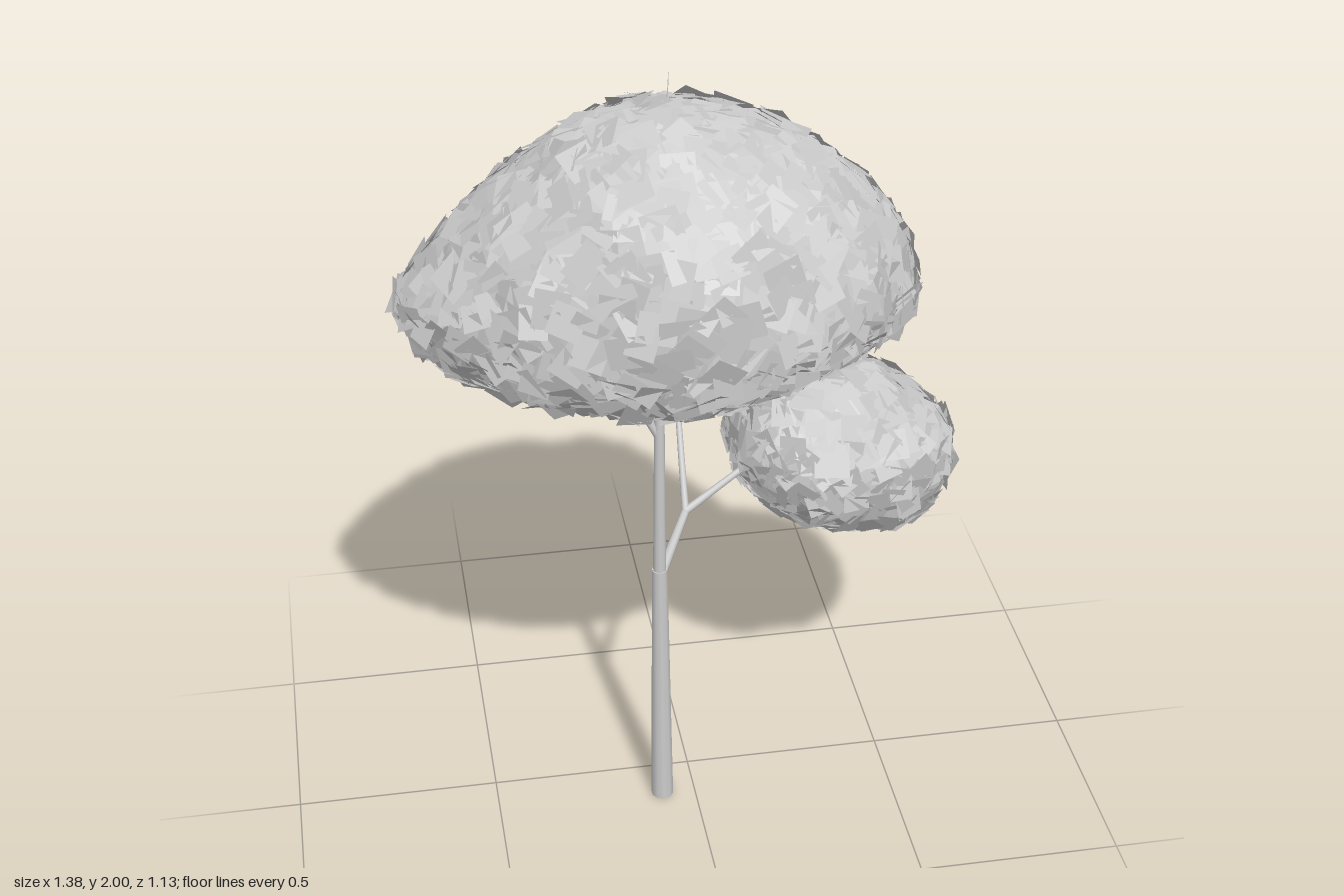
import * as THREE from 'three';

const V = (x, y, z) => new THREE.Vector3(x, y, z);

// Small seeded generator, returns -1..1
function makeRandom(seed) {
  let s = seed;
  return () => {
    s = (s * 16807) % 2147483647;
    return (s / 2147483647) * 2 - 1;
  };
}

// Tapered limb between two points
function limb(name, a, b, r0, r1, material) {
  const dir = b.clone().sub(a);
  const geo = new THREE.CylinderGeometry(r1, r0, dir.length(), 10);
  const mesh = new THREE.Mesh(geo, material);
  mesh.position.copy(a).addScaledVector(dir, 0.5);
  mesh.quaternion.setFromUnitVectors(V(0, 1, 0), dir.normalize());
  mesh.name = name;
  return mesh;
}

// Shell of overlapping square leaf cards; surface maps a unit direction to a point
function leafShell(name, surface, count, size, seed, material) {
  const rnd = makeRandom(seed);
  const pos = [], index = [];
  for (let i = 0; i < count; i++) {
    const y = 1 - (2 * i + 1) / count;
    const r = Math.sqrt(1 - y * y), a = i * 2.399963;
    const d = V(r * Math.cos(a), y, r * Math.sin(a));
    // Tangent frame of the surface
    const e1 = V(0, 1, 0).cross(d).normalize();
    const e2 = d.clone().cross(e1);
    const p = surface(d);
    const near = (e) => surface(d.clone().addScaledVector(e, 0.02).normalize()).sub(p);
    const t1 = near(e1).normalize();
    const n = t1.clone().cross(near(e2)).normalize();
    // Spin and slightly tilt each card
    t1.applyAxisAngle(n, rnd() * Math.PI);
    n.applyAxisAngle(t1, rnd() * 0.28);
    const t2 = n.clone().cross(t1);
    t1.applyAxisAngle(t2, rnd() * 0.28);
    const w = size * (1 + 0.2 * rnd()) / 2, h = size * (1 + 0.2 * rnd()) / 2;
    p.addScaledVector(n, rnd() * 0.008);
    const k = pos.length / 3;
    for (const [u, v] of [[-1, -1], [1, -1], [1, 1], [-1, 1]]) {
      const c = p.clone().addScaledVector(t1, u * w).addScaledVector(t2, v * h);
      pos.push(c.x, c.y, c.z);
    }
    index.push(k, k + 1, k + 2, k, k + 2, k + 3);
  }
  const geo = new THREE.BufferGeometry();
  geo.setAttribute('position', new THREE.Float32BufferAttribute(pos, 3));
  geo.setIndex(index);
  geo.computeVertexNormals();
  const mesh = new THREE.Mesh(geo, material);
  mesh.name = name;
  return mesh;
}

// Rotated, slightly squarish ellipsoid surface
function blob(center, radii, yaw, roll) {
  const q = new THREE.Quaternion().setFromEuler(new THREE.Euler(0, yaw, roll, 'YXZ'));
  const pw = (v) => Math.abs(v) ** 2.4;
  return (d) => d.clone().multiplyScalar((pw(d.x) + pw(d.y) + pw(d.z)) ** (-1 / 2.4))
    .multiply(radii).applyQuaternion(q).add(center);
}

// Broad dome: shallow underside, ends narrowing, left side drooping lower and wider
function dome(d) {
  const up = Math.max(d.y, 0);
  const x = d.x < 0 ? d.x * 0.61 * (1 - 0.38 * up) : d.x * 0.53 * (1 - 0.08 * up);
  const corner = Math.max(d.x, 0) * Math.max(d.z, 0);
  const y = d.y > 0 ? d.y * 0.425
    : -0.175 * Math.sin(Math.min(1, -d.y * 1.1) * Math.PI / 2) * (1 - 0.8 * corner);
  const z = d.z * 0.38 * (1 - 0.2 * d.x * d.x);
  return V(x - 0.05 - 0.03 * up, y + 1.505, z + 0.155 + 0.05 * x + 0.015 * up);
}

export function createModel() {
  const bark = new THREE.MeshStandardMaterial({ color: 0xcccccc });
  const leaf = new THREE.MeshStandardMaterial({ color: 0xcccccc, side: THREE.DoubleSide });
  const tree = new THREE.Group();
  tree.name = 'tree';

  // Trunk and branches
  const fork = V(-0.01, 0.81, 0.03);
  const limbs = [
    ['trunk', V(-0.083, 0, 0.106), V(-0.086, 0.7, 0.106), 0.028, 0.019],
    ['upperTrunk', V(-0.086, 0.7, 0.106), V(-0.083, 1.5, 0.108), 0.016, 0.009],
    ['trunkTip', V(-0.083, 1.5, 0.108), V(-0.06, 2, 0.11), 0.009, 0.0003],
    ['lowerBranch', V(-0.083, 0.68, 0.103), fork, 0.013, 0.01],
    ['sideBranch', fork, V(0.36, 1.0, -0.09), 0.01, 0.005],
    ['backBranch', fork, V(0, 1.2, -0.24), 0.009, 0.005],
    ['upperBranch', V(-0.087, 1.08, 0.106), V(-0.3, 1.5, 0.12), 0.01, 0.005],
  ];
  for (const l of limbs) tree.add(limb(...l, bark));

  // Foliage
  const back = blob(V(-0.005, 1.195, -0.26), V(0.315, 0.19, 0.225), Math.PI / 4, 0);
  const side = blob(V(0.395, 0.895, -0.09), V(0.275, 0.19, 0.23), 0.3, -0.33);
  tree.add(leafShell('topCanopy', dome, 1700, 0.076, 11, leaf));
  tree.add(leafShell('backFoliage', back, 720, 0.07, 23, leaf));
  tree.add(leafShell('sideFoliage', side, 640, 0.07, 37, leaf));
  return tree;
}
